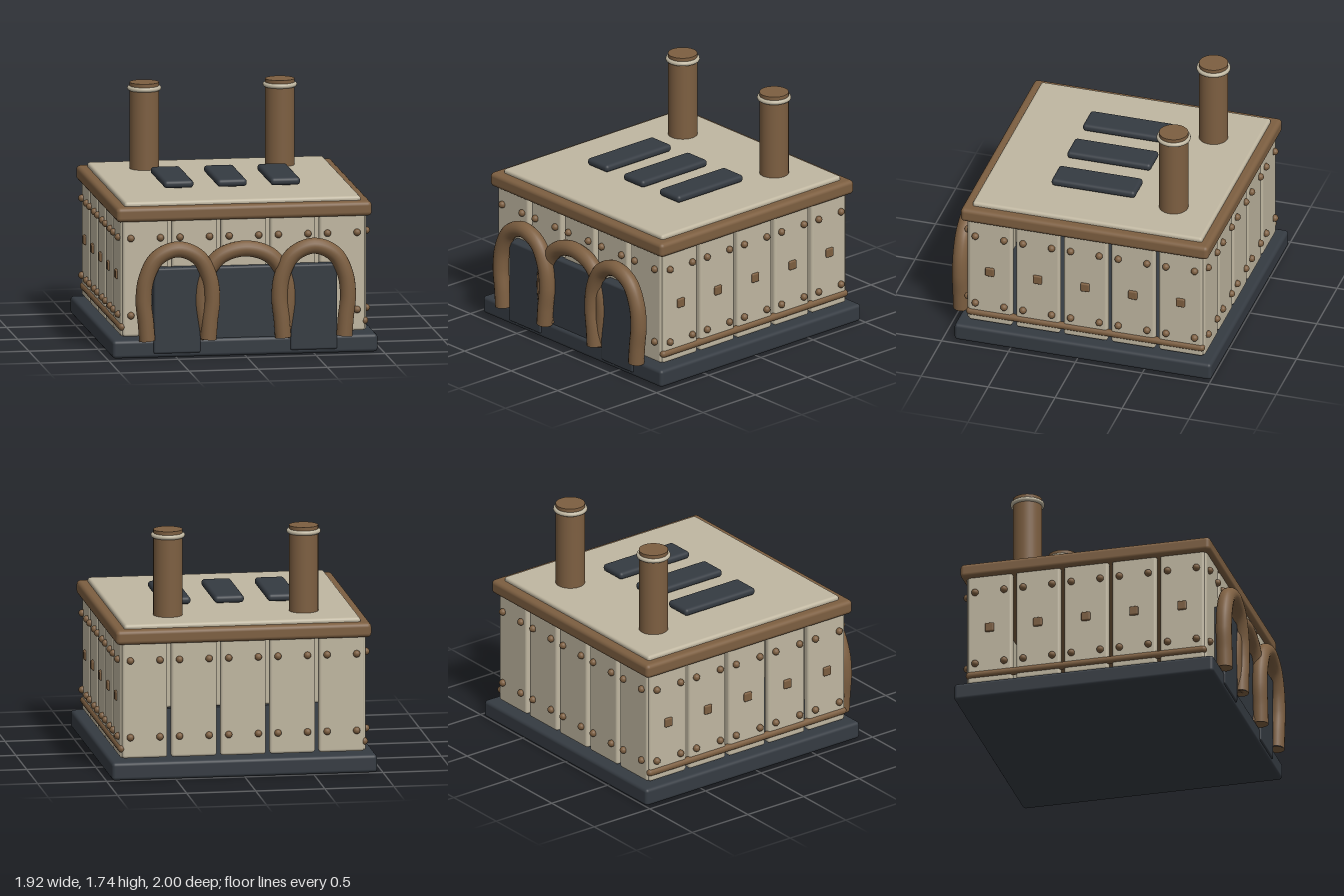
import * as THREE from 'three';
import { RoundedBoxGeometry } from 'three/addons/geometries/RoundedBoxGeometry.js';

const mat = (name, color) => {
  const m = new THREE.MeshStandardMaterial({ color });
  m.name = name;
  return m;
};

export function createModel() {
  const cream = mat('cream', 0xc0b7a1);
  const brown = mat('brown', 0x7d5f41);
  const dark = mat('dark slate', 0x353b42);
  const model = new THREE.Group();
  model.name = 'building';
  const midZ = -0.04; // centre of the walls in depth
  const half = 0.89; // half width of the square walls

  const add = (parent, name, geometry, material, x = 0, y = 0, z = 0) => {
    const mesh = new THREE.Mesh(geometry, material);
    mesh.name = name;
    mesh.position.set(x, y, z);
    parent.add(mesh);
    return mesh;
  };
  // Rounded box from its min/max extents
  const slab = (parent, name, material, [x0, x1], [y0, y1], [z0, z1], r) =>
    add(parent, name, new RoundedBoxGeometry(x1 - x0, y1 - y0, z1 - z0, 3, r), material,
      (x0 + x1) / 2, (y0 + y1) / 2, (z0 + z1) / 2);

  // Base, cornice and roof
  slab(model, 'base', dark, [-0.96, 0.96], [0, 0.13], [-1, 0.92], 0.025);
  slab(model, 'cornice', brown, [-0.925, 0.925], [0.98, 1.085], [-0.965, 0.885], 0.03);
  slab(model, 'roof', cream, [-0.855, 0.855], [1.04, 1.115], [-0.9, 0.815], 0.02);

  // Four walls of spaced panels with rivets; the two sides also get studs and a rail
  const panelGeo = new RoundedBoxGeometry(0.328, 0.875, 0.06, 3, 0.02);
  const rivetGeo = new THREE.SphereGeometry(0.026, 14, 10);
  const studGeo = new RoundedBoxGeometry(0.066, 0.068, 0.03, 2, 0.01);
  ['frontWall', 'leftWall', 'backWall', 'rightWall'].forEach((name, side) => {
    const wall = new THREE.Group();
    wall.name = name;
    wall.position.z = midZ;
    wall.rotation.y = side * Math.PI / 2;
    model.add(wall);
    const isSide = side % 2 === 1;
    for (let i = -2; i <= 2; i++) {
      const x = i * 0.356;
      add(wall, 'panel', panelGeo, cream, x, 0.5825, half - 0.03);
      for (const dx of [-0.107, 0.107])
        for (const y of [0.3, 0.86]) add(wall, 'rivet', rivetGeo, brown, x + dx, y, half + 0.008);
      if (isSide) add(wall, 'stud', studGeo, brown, x, 0.575, half + 0.001);
    }
    if (isSide) {
      const rail = add(wall, 'bottomRail', new THREE.CapsuleGeometry(0.027, 1.73, 6, 14), brown,
        0, 0.215, half - 0.012);
      rail.rotation.z = Math.PI / 2;
    }
  });

  // Doors: two outer ones in front of the base, the middle one set back
  for (const s of [-1, 1])
    slab(model, 'sideDoor', dark, [s * 0.495 - 0.17, s * 0.495 + 0.17], [0.03, 0.65], [0.84, 0.932], 0.015);
  slab(model, 'middleDoor', dark, [-0.28, 0.28], [0.03, 0.645], [0.83, 0.9], 0.015);

  // Horseshoe arches: half outline mirrored around the arch centre
  const arch = (name, cx, z, outline) => {
    const pts = [...outline, ...outline.slice(0, -1).reverse().map(([x, y]) => [-x, y])];
    const curve = new THREE.CatmullRomCurve3(pts.map(([x, y]) => new THREE.Vector3(x, y, 0)));
    const group = new THREE.Group();
    group.name = name;
    group.position.set(cx, 0, z);
    model.add(group);
    add(group, 'archTube', new THREE.TubeGeometry(curve, 64, 0.058, 16), brown);
    for (const s of [-1, 1]) {
      const cap = add(group, 'archFoot', new THREE.CircleGeometry(0.058, 16), brown,
        s * Math.abs(outline[0][0]), outline[0][1], 0);
      cap.rotation.x = Math.PI / 2;
    }
  };
  const sideOutline = [[-0.222, 0.13], [-0.232, 0.26], [-0.248, 0.42], [-0.228, 0.58], [-0.15, 0.725], [0, 0.787]];
  for (const s of [-1, 1]) arch('sideArch', s * 0.492, 0.94, sideOutline);
  arch('middleArch', 0, 0.9,
    [[-0.27, 0.13], [-0.295, 0.26], [-0.312, 0.42], [-0.285, 0.58], [-0.18, 0.72], [0, 0.773]]);

  // Roof vents
  for (const x of [-0.386, 0, 0.386])
    slab(model, 'roofVent', dark, [x - 0.108, x + 0.108], [1.122, 1.177], [-0.29, 0.337], 0.025);

  // Chimneys with a pale collar
  for (const x of [-0.491, 0.491]) {
    add(model, 'chimney', new THREE.CylinderGeometry(0.105, 0.105, 0.66, 32), brown, x, 1.41, -0.58);
    const collar = add(model, 'chimneyCollar', new THREE.TorusGeometry(0.106, 0.017, 10, 36), cream, x, 1.698, -0.58);
    collar.rotation.x = Math.PI / 2;
  }
  return model;
}
